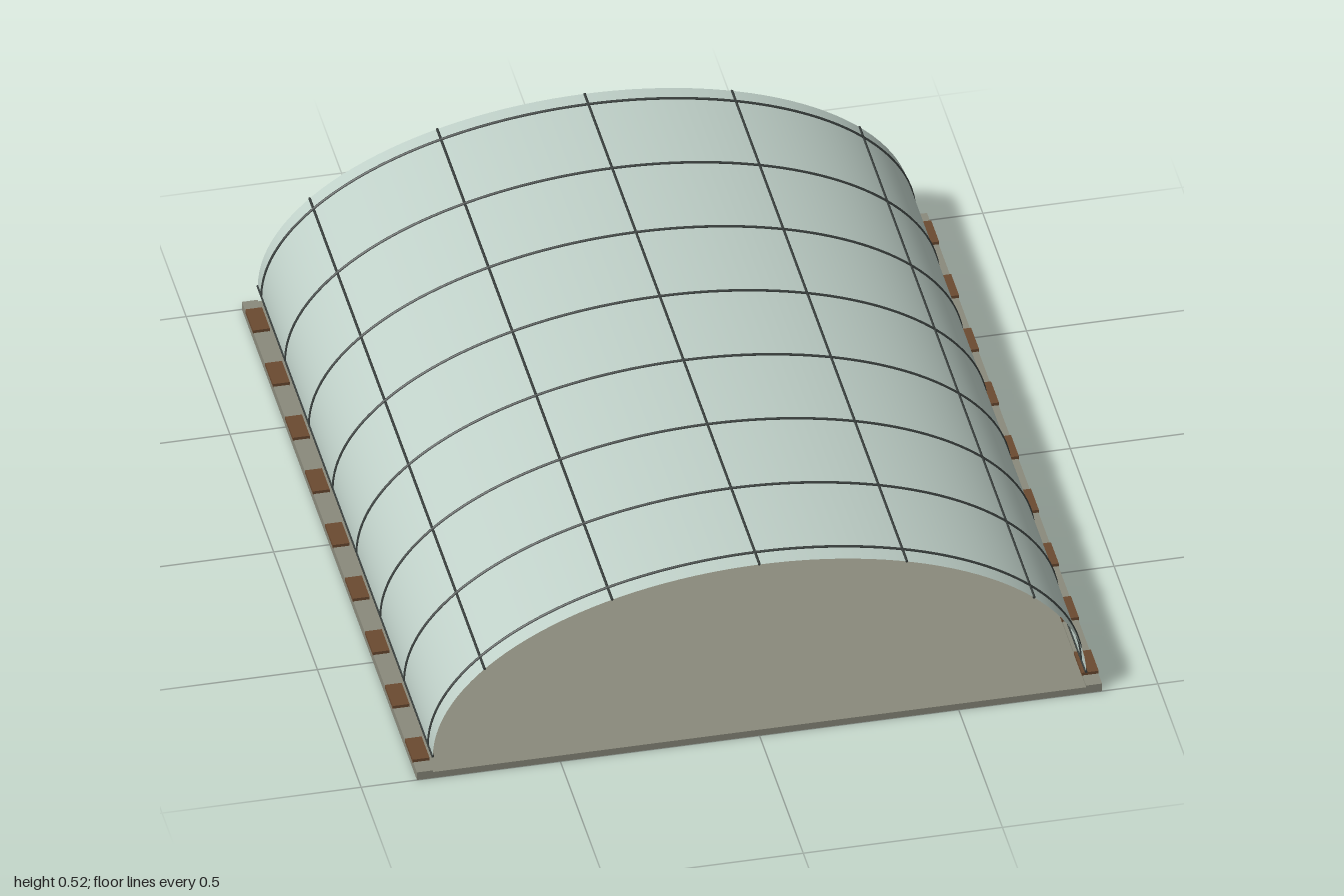
import * as THREE from 'three';
import { mergeGeometries } from 'three/addons/utils/BufferGeometryUtils.js';

const mat = (color, side = THREE.FrontSide) => new THREE.MeshStandardMaterial({ color, side });
const RX = 0.82, RY = 0.455, FOOT = 0.065, LENGTH = 2;

// Point on the elliptical arch, t from 0 (left foot) to PI (right foot)
const arch = (t, inset = 0) =>
  new THREE.Vector2((RX - inset) * Math.cos(t), FOOT + (RY - inset) * Math.sin(t));

export function createModel() {
  const model = new THREE.Group();
  const frameMat = mat(0x3a403e);
  const floorMat = mat(0x8a8a7c);
  const padMat = mat(0x6b4a30);
  const soilMat = mat(0x57483a);
  const leafMat = mat(0x46573a, THREE.DoubleSide);

  const add = (name, geometry, material, x = 0, y = 0, z = 0, parent = model) => {
    const mesh = new THREE.Mesh(geometry, material);
    mesh.name = name;
    mesh.position.set(x, y, z);
    parent.add(mesh);
    return mesh;
  };

  // Ground slab
  add('floor', new THREE.BoxGeometry(1.72, 0.018, LENGTH), floorMat, 0, 0.009, 0);

  // Thin arched cover
  const SEG = 64;
  const pos = [], idx = [], normal = [];
  for (let i = 0; i <= SEG; i++) {
    const t = (i / SEG) * Math.PI, p = arch(t);
    const n = new THREE.Vector2(Math.cos(t) / RX, Math.sin(t) / RY).normalize();
    for (const z of [1, -1]) {
      pos.push(p.x, p.y, z);
      normal.push(n.x, n.y, 0);
    }
    if (i < SEG) {
      const a = 2 * i;
      idx.push(a, a + 1, a + 2, a + 1, a + 3, a + 2);
    }
  }
  const coverGeo = new THREE.BufferGeometry();
  coverGeo.setAttribute('position', new THREE.Float32BufferAttribute(pos, 3));
  coverGeo.setAttribute('normal', new THREE.Float32BufferAttribute(normal, 3));
  coverGeo.setIndex(idx);
  add('cover', coverGeo, mat(0xbfd0c8, THREE.DoubleSide));

  // Arched ribs
  const ribPoints = Array.from({ length: 41 }, (_, i) => {
    const p = arch((i / 40) * Math.PI);
    return new THREE.Vector3(p.x, p.y, 0);
  });
  const ribGeo = new THREE.TubeGeometry(new THREE.CatmullRomCurve3(ribPoints), 80, 0.004, 6);
  for (let i = 0; i < 8; i++) add('rib', ribGeo, frameMat, 0, 0, -0.955 + i * 0.272);

  // Lengthwise purlins
  const purlinGeo = new THREE.CylinderGeometry(0.0035, 0.0035, LENGTH, 6).rotateX(Math.PI / 2);
  for (const x of [-0.82, -0.69, -0.37, 0, 0.37, 0.69, 0.82]) {
    const p = arch(Math.acos(x / RX));
    add('purlin', purlinGeo, frameMat, p.x, p.y, 0);
  }

  // Edge rails with wooden pads
  for (const side of [-1, 1]) {
    add('edgeRail', new THREE.BoxGeometry(0.04, 0.006, LENGTH), floorMat, side * 0.84, 0.02, 0);
    for (let i = 0; i < 9; i++) {
      add('pad', new THREE.BoxGeometry(0.042, 0.01, 0.09), padMat, side * 0.84, 0.026, -0.912 + i * 0.228);
    }
  }

  // Small seeded generator for the foliage
  let seed = 7;
  const rnd = () => (seed = (seed * 16807) % 2147483647) / 2147483647;
  const spread = (w) => (rnd() - 0.5) * w;

  // One diamond leaf, slightly folded along its midrib
  const leaf = new THREE.BufferGeometry();
  leaf.setAttribute('position', new THREE.Float32BufferAttribute(
    [0, 0, 0, 0.006, 0.003, 0.01, 0, 0, 0.022, -0.006, 0.003, 0.01], 3));
  leaf.setIndex([0, 2, 1, 0, 3, 2]);
  leaf.computeVertexNormals();

  const foliage = () => {
    const leaves = [];
    const dummy = new THREE.Object3D();
    for (let c = 0; c < 10; c++) {
      const cx = -0.2 + c * 0.0445 + spread(0.015);
      const height = 0.045 + rnd() * 0.015;
      // stem
      leaves.push(new THREE.CylinderGeometry(0.0015, 0.002, height, 4)
        .deleteAttribute('uv').translate(cx, height / 2, 0));
      // crown of leaves
      for (let i = 0; i < 32; i++) {
        dummy.position.set(cx + spread(0.042), 0.012 + rnd() * (height - 0.008), spread(0.09));
        dummy.rotation.set(spread(1.2), rnd() * Math.PI * 2, spread(1.2), 'YXZ');
        dummy.updateMatrix();
        leaves.push(leaf.clone().applyMatrix4(dummy.matrix));
      }
    }
    return mergeGeometries(leaves);
  };

  // Planting beds
  for (const [x, z] of [[-0.32, 0.185], [0.32, -0.135], [-0.32, -0.545]]) {
    const bed = new THREE.Group();
    bed.name = 'plantingBed';
    bed.position.set(x, 0.018, z);
    model.add(bed);
    add('bedBox', new THREE.BoxGeometry(0.46, 0.022, 0.145), floorMat, 0, 0.011, 0, bed);
    add('soil', new THREE.BoxGeometry(0.435, 0.006, 0.12), soilMat, 0, 0.023, 0, bed);
    add('plants', foliage(), leafMat, 0, 0.024, 0, bed);
  }
  return model;
}
